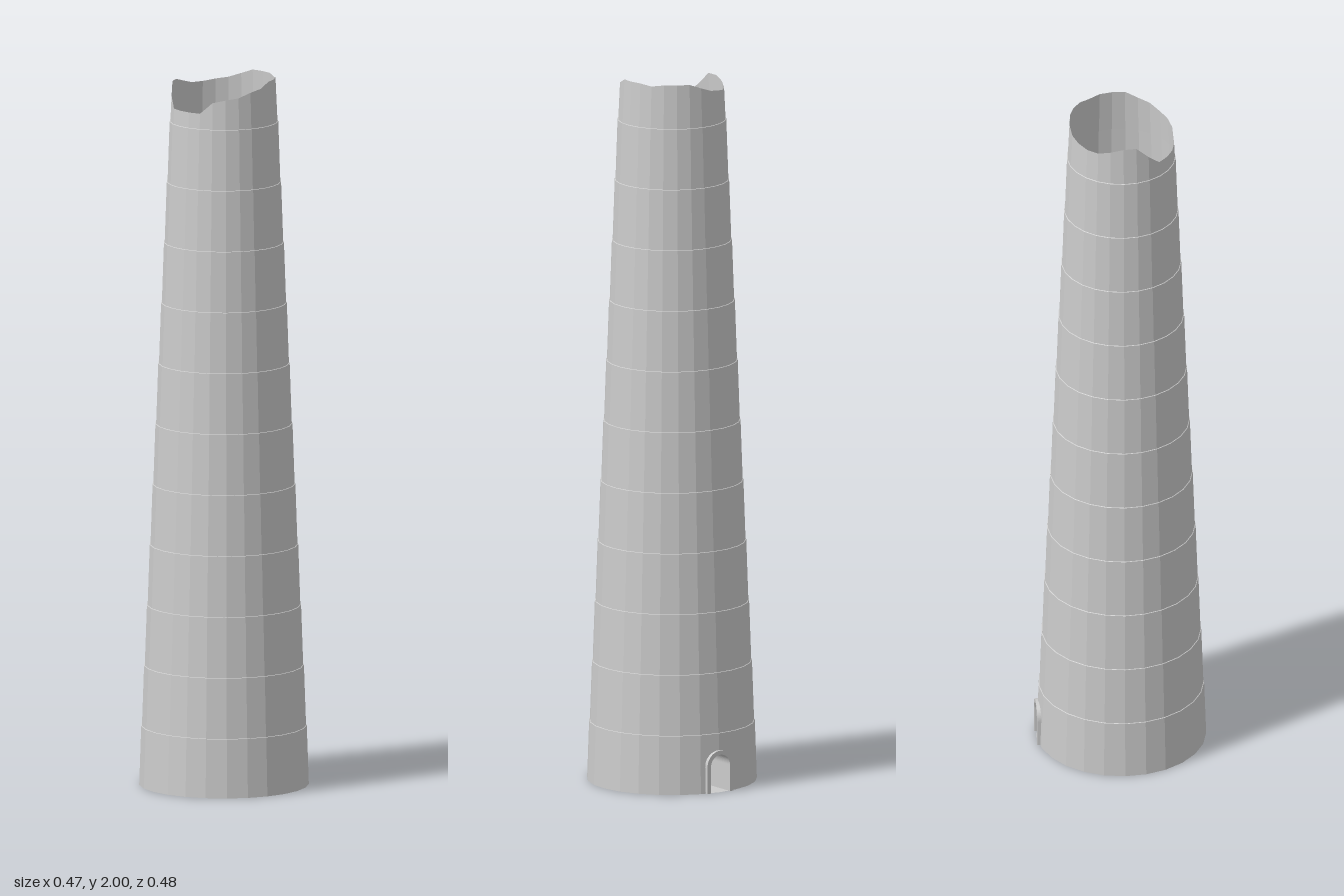
import * as THREE from 'three';

const SIDES = 25, STEP = (Math.PI * 2) / SIDES;
const BASE_R = 0.237, TOP_R = 0.144, LEDGE = 0.002;
const FIRST = 0.166, COURSE = 0.171, COURSES = 12;

const mat = new THREE.MeshStandardMaterial({ color: 0xcccccc, flatShading: true, side: THREE.DoubleSide });

// Broken rim heights, one per corner, starting at the back (-z) and running through -x, front, +x
const RIM = [1.987, 1.975, 1.97, 1.965, 1.965, 1.975, 1.985, 1.985, 1.95, 1.92, 1.92, 1.92, 1.92,
  1.952, 1.96, 1.965, 1.978, 1.985, 2, 2, 2, 1.995, 2, 2, 2];

const radiusAt = (y) => BASE_R + (TOP_R - BASE_R) * (y / 2);
const courseY = (i) => (i === 0 ? 0 : FIRST + (i - 1) * COURSE);

// Bottom and top radius of a course; each sits on a narrow ledge of the one below
function courseRadii(i) {
  return [radiusAt(courseY(i)), radiusAt(courseY(i + 1)) + LEDGE];
}

function add(group, name, geometry) {
  const mesh = new THREE.Mesh(geometry, mat);
  mesh.name = name;
  group.add(mesh);
  return mesh;
}

// Arch outline with its foot on y = 0
function archShape(r, spring) {
  const s = new THREE.Shape();
  s.moveTo(-r, 0);
  s.lineTo(r, 0);
  s.lineTo(r, spring);
  s.absarc(0, spring, r, 0, Math.PI, false);
  s.lineTo(-r, 0);
  return s;
}

// One facet beside the back corner, cut away around the doorway
function doorFacet(side, r, spring) {
  const [r0, r1] = courseRadii(0);
  const w = r0 * Math.sin(STEP);
  const s = new THREE.Shape();
  s.moveTo(r, 0);
  s.lineTo(w, 0);
  s.lineTo(w, FIRST);
  s.lineTo(0, FIRST);
  s.lineTo(0, spring + r);
  s.absarc(0, spring, r, Math.PI / 2, 0, true);
  const g = new THREE.ShapeGeometry(s, 8);
  const p = g.attributes.position;
  for (let i = 0; i < p.count; i++) {
    const x = p.getX(i), y = p.getY(i);
    const k = 1 + (r1 / r0 - 1) * (y / FIRST);
    p.setXYZ(i, side * x * k, y, -(r0 - x * Math.tan(STEP / 2)) * k);
  }
  g.computeVertexNormals();
  return g;
}

export function createModel() {
  const model = new THREE.Group();
  model.name = 'brokenChimney';

  // Tapering courses of the shaft
  for (let i = 0; i < COURSES; i++) {
    const [r0, r1] = courseRadii(i);
    const y0 = courseY(i), y1 = courseY(i + 1);
    const last = i === COURSES - 1;
    const pts = [new THREE.Vector2(r0, y0), new THREE.Vector2(r1, y1)];
    if (!last) pts.push(new THREE.Vector2(r1 - LEDGE, y1 + 0.001));

    if (i === 0) {
      // The two back facets are left out for the doorway
      add(model, 'baseCourse', new THREE.LatheGeometry(pts.slice(0, 2), SIDES - 2, Math.PI + STEP, STEP * (SIDES - 2)));
      add(model, 'baseLedge', new THREE.LatheGeometry(pts.slice(1), SIDES, Math.PI));
      continue;
    }
    const g = new THREE.LatheGeometry(pts, SIDES, Math.PI);
    if (last) {
      // Jagged broken edge
      const p = g.attributes.position;
      for (let k = 0; k <= SIDES; k++) {
        const y = RIM[k % SIDES], a = Math.PI + k * STEP, r = radiusAt(y);
        p.setXYZ(k * 2 + 1, r * Math.sin(a), y, r * Math.cos(a));
      }
      g.computeVertexNormals();
    }
    add(model, last ? 'brokenTopCourse' : 'shaftCourse', g);
  }

  // Doorway: cut wall facets and a short arched passage
  const spring = 0.075, outer = 0.044, inner = 0.032;
  for (const side of [-1, 1]) add(model, 'doorwayWall', doorFacet(side, outer - 0.002, spring));
  const arch = archShape(outer, spring);
  // Opening runs down to the ground
  const frame = new THREE.Shape();
  frame.moveTo(inner, 0);
  frame.lineTo(outer, 0);
  frame.lineTo(outer, spring);
  frame.absarc(0, spring, outer, 0, Math.PI, false);
  frame.lineTo(-outer, 0);
  frame.lineTo(-inner, 0);
  frame.lineTo(-inner, spring);
  frame.absarc(0, spring, inner, Math.PI, 0, true);
  const passage = new THREE.ExtrudeGeometry(frame, { depth: 0.147, bevelEnabled: false, curveSegments: 16 });
  add(model, 'archedPassage', passage).position.z = -0.24;

  // Floor disc
  const floor = new THREE.CircleGeometry(BASE_R, SIDES, Math.PI / 2);
  add(model, 'floor', floor.rotateX(-Math.PI / 2));

  return model;
}
